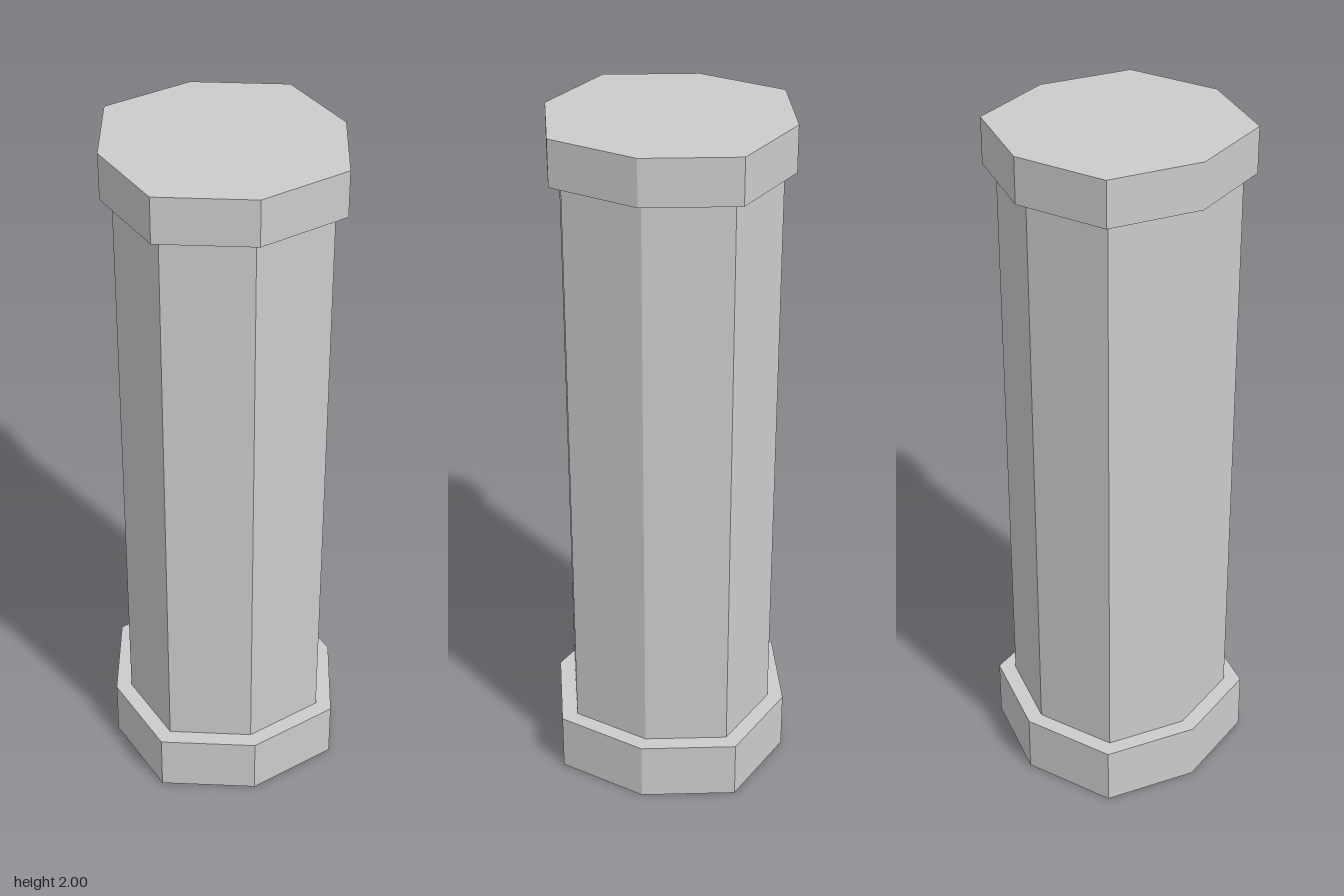
import * as THREE from 'three';

const material = new THREE.MeshStandardMaterial({ color: 0xcccccc, flatShading: true });

// Upright eight-sided prism: corners on the x axis, the z axis and the diagonals
function prism(name, x, z, diagonal, bottom, top) {
  const d = diagonal;
  const outline = [[x, 0], [d, d], [0, z], [-d, d], [-x, 0], [-d, -d], [0, -z], [d, -d]];
  const shape = new THREE.Shape(outline.map(([a, b]) => new THREE.Vector2(a, b)));
  const geometry = new THREE.ExtrudeGeometry(shape, { depth: top - bottom, bevelEnabled: false });
  geometry.rotateX(-Math.PI / 2);
  geometry.translate(0, bottom, 0);
  const mesh = new THREE.Mesh(geometry, material);
  mesh.name = name;
  return mesh;
}

export function createModel() {
  const column = new THREE.Group();
  column.name = 'column';
  column.add(
    prism('base', 0.342, 0.353, 0.265, 0, 0.175),
    prism('shaft', 0.295, 0.306, 0.229, 0.175, 1.87),
    prism('capital', 0.327, 0.339, 0.254, 1.87, 2),
  );
  return column;
}
